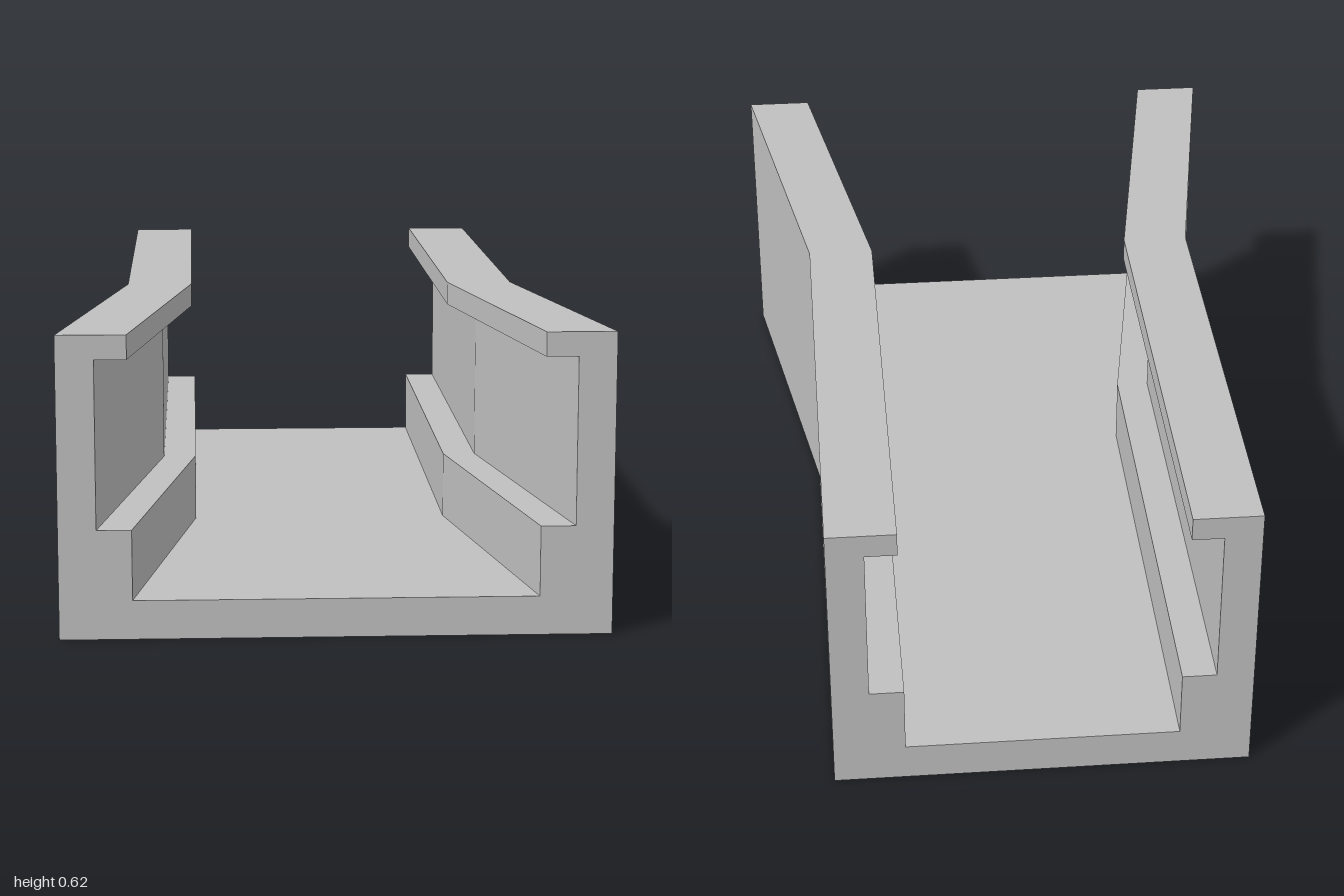
import * as THREE from 'three';

// Half of the channel's cross-section: [half width, height], from the floor slot outwards
const HALF_PROFILE = [
  [0.283, 0.08], [0.283, 0.225], [0.354, 0.225], [0.354, 0.57],
  [0.289, 0.57], [0.289, 0.62], [0.431, 0.62], [0.431, 0],
];
// Stations along the run: distance along the axis and outward flare of each wall
const STATIONS = [
  { along: -0.856, flare: 0.128 },
  { along: -0.106, flare: 0 },
  { along: 0.983, flare: 0 },
];

export function createModel() {
  const group = new THREE.Group();
  group.name = 'flaredChannel';
  const grey = new THREE.MeshStandardMaterial({ color: 0xc0c0c0 });
  grey.name = 'light grey';

  // Mirror the half profile into a closed outline
  const right = HALF_PROFILE.map(([x, y]) => new THREE.Vector2(x, y));
  const left = HALF_PROFILE.map(([x, y]) => new THREE.Vector2(-x, y)).reverse();
  const shape = new THREE.Shape([...right, ...left]);

  // Extrude in two steps, then move each ring to its station and flare the walls
  const geometry = new THREE.ExtrudeGeometry(shape, { depth: 2, steps: 2, bevelEnabled: false });
  const position = geometry.attributes.position;
  for (let i = 0; i < position.count; i++) {
    const { along, flare } = STATIONS[Math.round(position.getZ(i))];
    const x = position.getX(i);
    position.setX(i, x + Math.sign(x) * flare);
    position.setZ(i, along);
  }
  geometry.computeVertexNormals();

  // Channel with floor, side ledges and inward top lips, laid diagonally
  const channel = new THREE.Mesh(geometry, grey);
  channel.name = 'channel';
  channel.rotation.y = Math.PI * 0.75;
  group.add(channel);
  return group;
}
